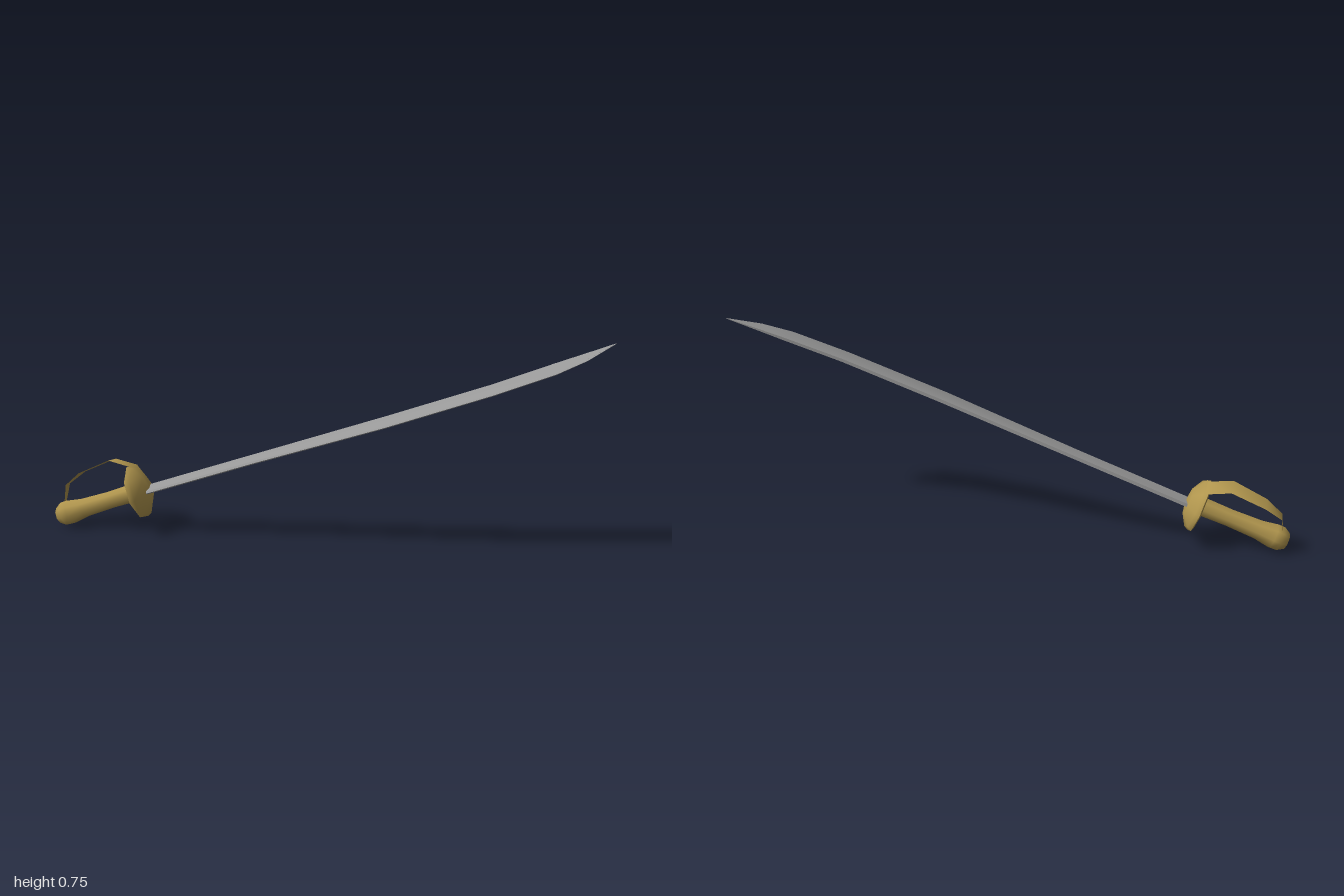
import * as THREE from 'three';
import { toCreasedNormals } from 'three/addons/utils/BufferGeometryUtils.js';

// Skins a row of equal-length cross-sections (arrays of [x, y, z]).
function skin(sections, closed) {
  const n = sections[0].length, index = [];
  for (let i = 0; i < sections.length - 1; i++) {
    for (let j = 0; j < (closed ? n : n - 1); j++) {
      const k = (j + 1) % n;
      const a = i * n + j, b = i * n + k, c = b + n, d = a + n;
      index.push(a, b, c, a, c, d);
    }
  }
  const geo = new THREE.BufferGeometry();
  geo.setAttribute('position', new THREE.Float32BufferAttribute(sections.flat(2), 3));
  geo.setIndex(index);
  geo.computeVertexNormals();
  return geo;
}

// Eight-sided turned part whose axis runs along the blade (+x).
function turned(profile) {
  const geo = new THREE.LatheGeometry(profile.map(([r, u]) => new THREE.Vector2(r, u)), 8);
  geo.rotateZ(-Math.PI / 2);
  return geo;
}

export function createModel() {
  const gold = new THREE.MeshStandardMaterial({ color: 0xb1964e });
  gold.name = 'gold';
  const goldSheet = gold;
  goldSheet.side = THREE.DoubleSide;
  const steel = new THREE.MeshStandardMaterial({ color: 0x999999 });
  steel.name = 'steel';

  const model = new THREE.Group();
  model.name = 'sabre';
  const sword = new THREE.Group();
  sword.name = 'tiltedSword';
  sword.position.set(-0.675, 0.15, 0);
  sword.rotation.set(0.1, 0, 0.346, 'ZYX');
  model.add(sword);

  function add(name, geometry, material) {
    const mesh = new THREE.Mesh(geometry, material);
    mesh.name = name;
    sword.add(mesh);
  }

  // Curved blade: distance along, back edge z, cutting edge z, half thickness
  const stations = [
    [0.02, -0.037, 0.037, 0.006],
    [0.46, -0.022, 0.055, 0.006],
    [0.97, -0.004, 0.094, 0.006],
    [1.355, -0.004, 0.094, 0.0055],
    [1.567, -0.027, 0.073, 0.005],
    [1.674, -0.04, 0.032, 0.003],
    [1.78, -0.055, -0.053, 0.0005],
  ];
  const blade = skin(stations.map(([u, z0, z1, t]) => {
    const bevel = z1 - (z1 - z0) * 0.09, v = -0.004;
    return [[u, v + t, z0], [u, v + t, bevel], [u, v, z1], [u, v - t, bevel], [u, v - t, z0]];
  }), true);
  add('blade', toCreasedNormals(blade, 0.6), steel);

  // Domed octagonal hand guard with a bevelled rim
  add('guard', toCreasedNormals(turned([
    [0.025, 0.005], [0.09, -0.012], [0.103, -0.006],
    [0.094, 0.01], [0.05, 0.036], [0, 0.044],
  ]), 1.0), gold);

  // Grip swelling into a rounded pommel
  add('grip', turned([
    [0, -0.344], [0.03, -0.337], [0.046, -0.312], [0.047, -0.287],
    [0.037, -0.23], [0.033, -0.12], [0.036, 0.01],
  ]), gold);

  // Knuckle bow ribbon: distance along, height, inner z, outer z, outer drop
  const bow = [
    [-0.306, 0.036, -0.02, -0.04, 0.004],
    [-0.273, 0.098, -0.026, -0.062, 0.01],
    [-0.204, 0.127, -0.027, -0.083, 0.018],
    [-0.072, 0.141, -0.023, -0.091, 0.022],
    [0.002, 0.098, -0.008, -0.078, 0.022],
    [0.018, 0.045, 0, -0.06, 0.01],
  ];
  add('knuckleBow', skin(bow.map(([u, v, zi, zo, drop]) =>
    [[u, v - drop, zo], [u, v, zi]]), false), goldSheet);

  return model;
}
